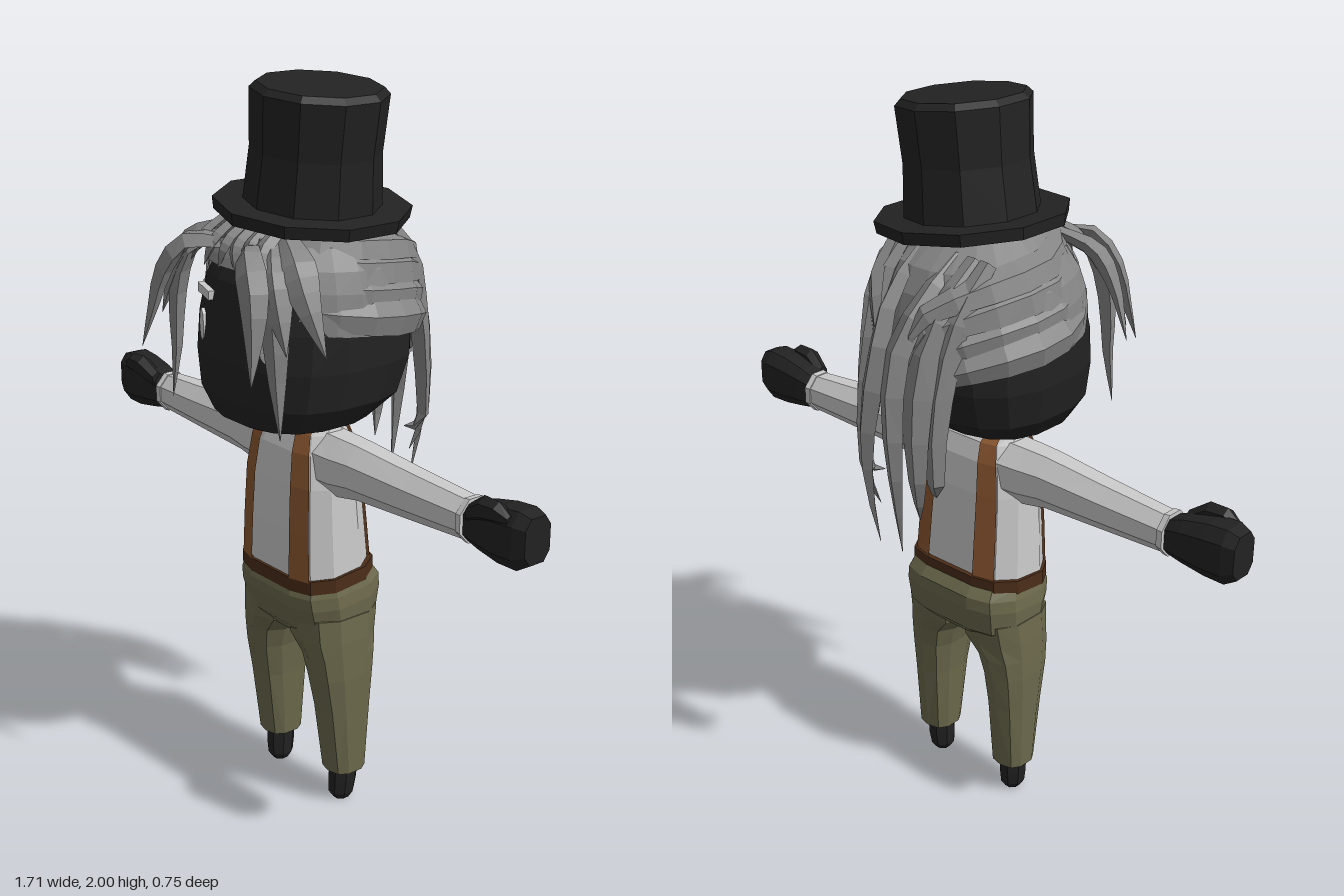
import * as THREE from 'three';

const V = (x, y, z) => new THREE.Vector3(x, y, z);
const mat = (name, color, side = THREE.FrontSide) => {
  const m = new THREE.MeshStandardMaterial({ color, side });
  m.name = name;
  return m;
};

// Unit cross-sections as [a, b] pairs
const roundRing = (n, power = 2, turn = 0.5) => Array.from({ length: n }, (_, i) => {
  const t = ((i + turn) / n) * Math.PI * 2;
  const f = (v) => Math.sign(v) * Math.abs(v) ** (2 / power);
  return [f(Math.cos(t)), f(Math.sin(t))];
});
const torsoRing = [[1, 0.4], [0.8, 0.85], [0.45, 1], [-0.45, 1], [-0.8, 0.85], [-1, 0.4],
  [-1, -0.4], [-0.8, -0.85], [-0.45, -1], [0.45, -1], [0.8, -0.85], [1, -0.4]];
const diamond = [[1, 0], [0, 1], [-1, 0], [0, -1]];

// Skin between rings of points; columns may be limited to some sides of the ring
function loft(rings, { caps = true, columns = null } = {}) {
  const pos = [], n = rings[0].length;
  const tri = (...p) => p.forEach((q) => pos.push(q.x, q.y, q.z));
  const cols = columns || [...Array(n).keys()];
  for (let r = 0; r < rings.length - 1; r++) for (const i of cols) {
    const j = (i + 1) % n, A = rings[r], B = rings[r + 1];
    tri(A[i], B[i], A[j]);
    tri(A[j], B[i], B[j]);
  }
  if (caps) [rings[0], rings[rings.length - 1]].forEach((R, top) => {
    const c = R.reduce((s, p) => s.add(p), V(0, 0, 0)).divideScalar(n);
    for (let i = 0; i < n; i++) {
      const a = R[i], b = R[(i + 1) % n];
      top ? tri(c, b, a) : tri(c, a, b);
    }
  });
  const g = new THREE.BufferGeometry();
  g.setAttribute('position', new THREE.Float32BufferAttribute(pos, 3));
  return g;
}

// Rows of [y, centreX, centreZ, radiusX, radiusZ], stacked upwards
const stackRings = (rows, unit, tilt = 0) => rows.map(([y, cx, cz, rx, rz]) =>
  unit.map(([a, b]) => V(cx + a * rx, y - tilt * (cz + b * rz), cz + b * rz)));
// Rows of [x, centreY, centreZ, radiusY, radiusZ], running towards +x
const sideRings = (rows, unit) => rows.map(([x, cy, cz, ry, rz]) =>
  unit.map(([a, b]) => V(x, cy + b * ry, cz + a * rz)));

// Tapered, ridged strand of hair along a curve
function lock(points, width, thick = 0.025, startWidth = 0.55) {
  const curve = new THREE.CatmullRomCurve3(points.map((p) => V(...p)));
  const steps = 8, rings = [];
  for (let i = 0; i <= steps; i++) {
    const u = i / steps, c = curve.getPoint(u), T = curve.getTangent(u);
    const out = c.clone().sub(V(0, Math.min(c.y, 1.38), 0));
    const S = T.clone().cross(out).normalize(), N = S.clone().cross(T).normalize();
    const k = u < 0.4 ? startWidth + (1 - startWidth) * u / 0.4
      : Math.max(0.02, 1 - ((u - 0.4) / 0.6) ** 1.6);
    rings.push(diamond.map(([a, b]) => c.clone()
      .addScaledVector(S, a * k * width / 2).addScaledVector(N, b * k * thick)));
  }
  return loft(rings);
}

function mirrorX(geo) {
  const g = geo.clone(), p = g.attributes.position;
  for (let i = 0; i < p.count; i += 3) {
    const q = [0, 2, 1].map((k) => V().fromBufferAttribute(geo.attributes.position, i + k));
    q.forEach((v, k) => p.setXYZ(i + k, -v.x, v.y, v.z));
  }
  return g;
}

export function createModel() {
  const black = mat('black', 0x222222);
  const hairGrey = mat('hairGrey', 0x868686, THREE.DoubleSide);
  const white = mat('shirtWhite', 0xcacaca);
  const tan = mat('strapBrown', 0x8a5630, THREE.DoubleSide);
  const brown = mat('beltBrown', 0x4a2c18);
  const olive = mat('trouserOlive', 0x6c694c);
  const model = new THREE.Group();

  const add = (name, geo, material) => {
    const g = geo.index ? geo.toNonIndexed() : geo;
    g.computeVertexNormals();
    const m = new THREE.Mesh(g, material);
    m.name = name;
    model.add(m);
    return m;
  };
  const pair = (name, geo, material) => {
    const g = geo.index ? geo.toNonIndexed() : geo;
    add(name + 'Left', g, material);
    add(name + 'Right', mirrorX(g), material);
  };

  // Head
  add('head', loft(stackRings([
    [1.115, 0, 0.08, 0.12, 0.13], [1.135, 0, 0.07, 0.2, 0.18], [1.2, 0, 0.04, 0.25, 0.235],
    [1.3, 0, 0.025, 0.268, 0.255], [1.4, 0, 0.02, 0.268, 0.25], [1.5, 0, 0.015, 0.25, 0.235],
    [1.6, 0, 0.01, 0.2, 0.19]], roundRing(16, 2.6))), black);

  // Eyes and eyebrows
  const eye = new THREE.CylinderGeometry(0.5, 0.5, 0.009, 8).rotateX(Math.PI / 2)
    .scale(0.034, 0.088, 1).rotateY(0.31).translate(0.132, 1.37, 0.253);
  pair('eye', eye, white);
  pair('eyebrow', new THREE.BoxGeometry(0.088, 0.024, 0.02)
    .rotateZ(0.05).rotateY(0.31).translate(0.127, 1.458, 0.243), white);

  // Hair cap with an open forehead
  const capRings = [0, 0.2, 0.4, 0.6, 0.8, 1].map((v) => roundRing(24).map(([a, b]) => {
    const edge = b > 0.74 ? 1.545 : 1.385 + 0.03 * b;
    const y = edge + (1.66 - edge) * v;
    const f = (1 - (Math.max(0, y - 1.4) / 0.28) ** 2.6) ** (1 / 2.6);
    return V(a * 0.278 * f, y, 0.02 + b * 0.272 * f);
  }));
  add('hairCap', loft(capRings, { caps: false }), hairGrey);

  // Strands swept around the sides to the back
  [[1.43, 0.1], [1.49, 0.1], [1.55, 0.1], [1.6, 0.09]].forEach(([y, w], i) => {
    const k = 1 - i * 0.08;
    pair('sideStrand' + i, lock([
      [0.19 - i * 0.03, y + 0.03, 0.19], [0.272 * k, y + 0.01, 0.06], [0.268 * k, y - 0.01, -0.08],
      [0.19 * k, y - 0.04, -0.21], [0.07, y - 0.1, -0.29], [0.05, y - 0.2, -0.31]], w, 0.022, 0.8), hairGrey);
  });

  // Strands over the crown, falling into the tail
  [[0.03, 0.87, 0.08, 0.05], [0.09, 0.96, 0.09, 0.09], [0.13, 1.04, 0.08, 0.11]].forEach(([x, end, w, tipX], i) => {
    const z = -0.355 + i * 0.035;
    pair('tailStrand' + i, lock([
      [x + 0.03, 1.63, -0.13], [x + 0.02, 1.53, -0.255 + i * 0.02], [x, 1.4, z + 0.03],
      [x * 0.8 + 0.02, 1.22, z], [x * 0.7 + 0.03, 1.05, z + 0.003], [tipX * 0.8, end, z + 0.03]],
    w, 0.028), hairGrey);
  });

  // Fringe parted to both sides
  pair('fringeFront', lock([[0.06, 1.6, 0.24], [0.13, 1.6, 0.3], [0.19, 1.52, 0.33], [0.215, 1.42, 0.35],
    [0.235, 1.31, 0.375]], 0.085), hairGrey);
  pair('fringeLong', lock([[0.08, 1.62, 0.22], [0.16, 1.57, 0.27], [0.205, 1.45, 0.28], [0.215, 1.3, 0.28],
    [0.232, 1.155, 0.285]], 0.08), hairGrey);
  pair('fringeOuter', lock([[0.12, 1.63, 0.18], [0.21, 1.59, 0.22], [0.265, 1.51, 0.23], [0.325, 1.375, 0.215]],
    0.1), hairGrey);
  pair('fringeMiddle', lock([[0.1, 1.62, 0.2], [0.18, 1.57, 0.26], [0.225, 1.48, 0.28], [0.265, 1.38, 0.29]],
    0.09), hairGrey);
  [0.02, 0.065, 0.11].forEach((x, i) => pair('foreheadStrand' + i, lock([
    [x, 1.65, 0.19], [x * 1.15, 1.6, 0.255], [x * 1.35 + 0.01, 1.535, 0.27]], 0.05, 0.015, 0.8), hairGrey));

  // Tilted top hat
  const hatProfile = [[0, -0.017], [0.25, -0.017], [0.255, 0.015], [0.178, 0.015],
    [0.168, 0.15], [0.176, 0.295], [0.16, 0.311], [0, 0.311]].map((p) => new THREE.Vector2(...p));
  add('topHat', new THREE.LatheGeometry(hatProfile, 10).rotateZ(-0.1).translate(0.035, 1.675, 0.025), black);

  // Shirt body with braces on the same cross-sections
  const body = [[0.69, 0, 0.018, 0.178, 0.118], [0.82, 0, 0.022, 0.172, 0.11], [0.95, 0, 0.025, 0.165, 0.1],
    [1.04, 0, 0.025, 0.15, 0.088], [1.09, 0, 0.025, 0.135, 0.07], [1.118, 0, 0.025, 0.125, 0.03]];
  add('shirt', loft(stackRings(body, torsoRing)), white);
  const braceRows = body.map(([y, x, z, rx, rz]) => [y + 0.004, x, z, rx * 1.02, rz + 0.008]);
  add('braces', loft(stackRings(braceRows, torsoRing), { caps: false, columns: [1, 3, 7, 9] }), tan);

  // Sleeves, cuffs and hands
  const oct = roundRing(8);
  pair('sleeve', loft(sideRings([[0.09, 1.015, 0.022, 0.09, 0.08], [0.18, 1.015, 0.024, 0.088, 0.075],
    [0.25, 1.02, 0.024, 0.08, 0.07], [0.45, 1.015, 0.02, 0.067, 0.06], [0.645, 1.012, 0.016, 0.056, 0.05]], oct)), white);
  pair('cuff', loft(sideRings([[0.63, 1.012, 0.016, 0.06, 0.054], [0.648, 1.012, 0.016, 0.062, 0.056]], oct)), white);
  pair('hand', loft(sideRings([[0.64, 1.01, 0.016, 0.048, 0.042], [0.69, 1.015, 0.018, 0.062, 0.052],
    [0.76, 1.018, 0.02, 0.075, 0.058], [0.82, 1.02, 0.018, 0.078, 0.056], [0.853, 1.025, 0.016, 0.062, 0.044]],
  roundRing(8, 3))), black);
  pair('thumb', loft(sideRings([[0.665, 1.045, 0.05, 0.025, 0.02], [0.72, 1.075, 0.06, 0.034, 0.026],
    [0.77, 1.08, 0.062, 0.028, 0.024], [0.805, 1.07, 0.06, 0.012, 0.012]], roundRing(6))), black);

  // Belt, higher at the back
  add('belt', loft(stackRings([[0.672, 0, 0.015, 0.188, 0.128], [0.71, 0, 0.015, 0.186, 0.128]], torsoRing, 0.1)), brown);

  // Trousers: seat and two tapered legs
  add('trouserSeat', loft(stackRings([[0.51, 0, 0.005, 0.13, 0.085], [0.55, 0, 0, 0.19, 0.122],
    [0.62, 0, 0.004, 0.194, 0.138], [0.655, 0, 0.006, 0.19, 0.14], [0.685, 0, 0.012, 0.182, 0.125]], torsoRing, 0.08)), olive);
  pair('trouserLeg', loft(stackRings([[0.1, 0.144, 0, 0.053, 0.056], [0.3, 0.142, 0.006, 0.06, 0.078],
    [0.4, 0.138, 0.01, 0.067, 0.093], [0.46, 0.129, 0.01, 0.075, 0.102], [0.51, 0.104, 0.01, 0.099, 0.112],
    [0.58, 0.1, 0.006, 0.098, 0.12]], roundRing(10, 2.6))), olive);

  // Shoes
  pair('shoe', loft(stackRings([[0, 0.14, 0.004, 0.022, 0.024], [0.02, 0.14, 0.004, 0.034, 0.038],
    [0.06, 0.142, 0.002, 0.038, 0.042], [0.11, 0.143, 0, 0.04, 0.042]], oct)), black);

  return model;
}
